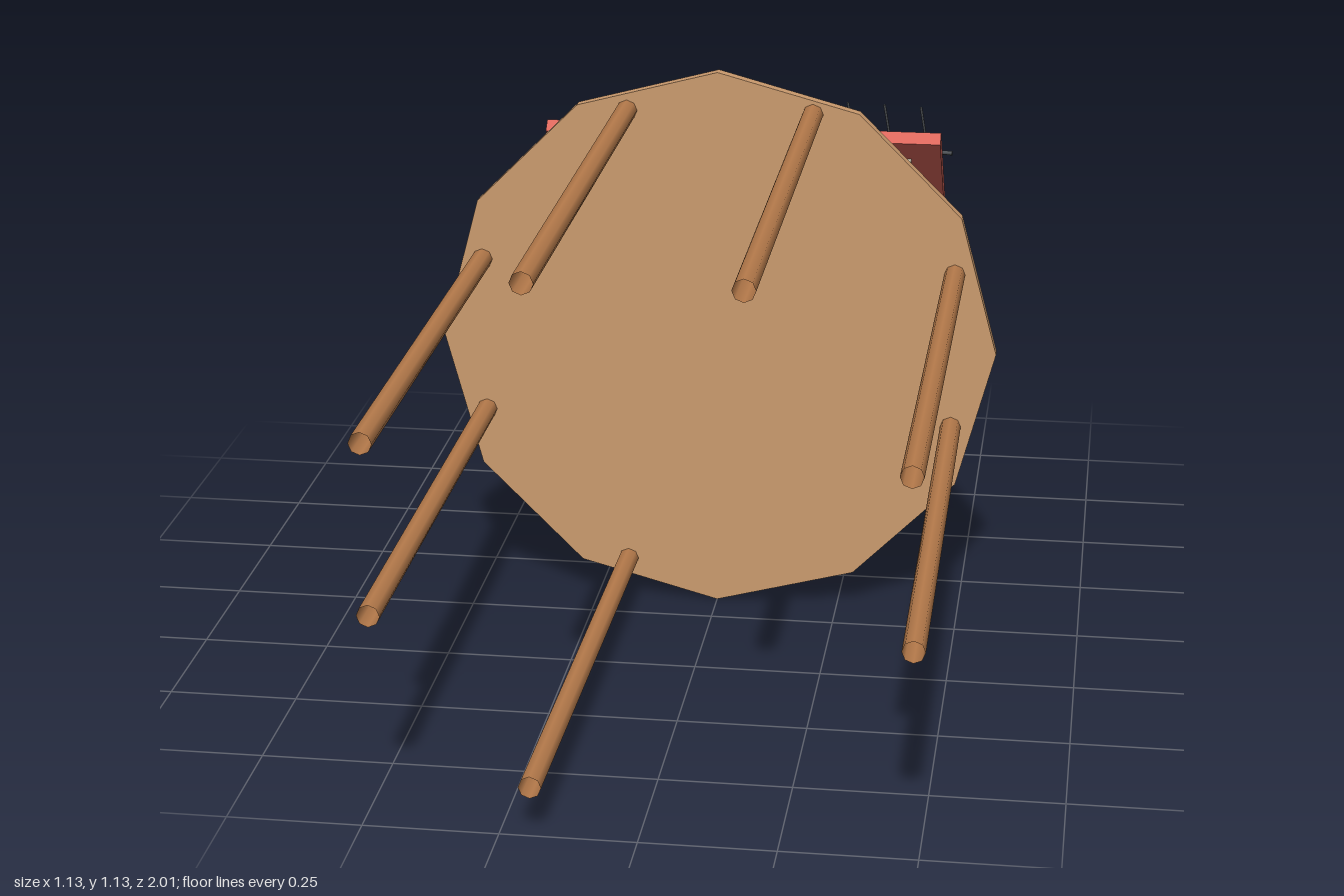
import * as THREE from 'three';

const mat = (name, color, extra = {}) => Object.assign(new THREE.MeshStandardMaterial({ color, ...extra }), { name });

export function createModel() {
  const deckWood = mat('light wood', 0xcb9b6e);
  const stiltWood = mat('stilt wood', 0xb87c4c, { side: THREE.DoubleSide });
  const plaster = mat('plaster', 0xcac5af);
  const roofRed = mat('roof red', 0xdb675c);
  const glass = mat('dark glass', 0x4d6570);
  const metal = mat('antenna metal', 0x505458);

  // The hut is modelled upright (y up), then laid on its back at the end.
  const hut = new THREE.Group();
  hut.name = 'stiltHut';
  const add = (name, geometry, material) => {
    const mesh = new THREE.Mesh(geometry, material);
    mesh.name = name;
    hut.add(mesh);
    return mesh;
  };
  const v = (x, y, z) => new THREE.Vector3(x, y, z);
  const shapeOf = pts => new THREE.Shape(pts.map(([x, y]) => new THREE.Vector2(x, y)));
  const rectPts = (x0, x1, y0, y1) => [[x0, y0], [x1, y0], [x1, y1], [x0, y1]];
  const extrude = (shape, depth) => new THREE.ExtrudeGeometry(shape, { depth, bevelEnabled: false });
  // Extrude a (z, y) outline along x, from x1 down to x0
  const alongX = (shape, x0, x1) => extrude(shape, x1 - x0).rotateY(-Math.PI / 2).translate(x1, 0, 0);
  // Straight round bar between two points
  const rod = (name, a, b, radius, sides, material, open = false) => {
    const dir = b.clone().sub(a);
    const mesh = add(name, new THREE.CylinderGeometry(radius, radius, dir.length(), sides, 1, open), material);
    mesh.position.copy(a).add(b).multiplyScalar(0.5);
    mesh.quaternion.setFromUnitVectors(v(0, 1, 0), dir.normalize());
  };

  // Twelve-sided deck
  const deck = new THREE.CylinderGeometry(0.565, 0.565, 0.025, 12).toNonIndexed();
  deck.computeVertexNormals();
  add('deck', deck.translate(0, 0.1025, 0), deckWood);

  // Seven hollow stilts, slightly splayed: foot x, z and top x, z
  [
    [-0.19, 0.47, -0.182, 0.482], [0.187, 0.473, 0.19, 0.486],
    [-0.478, 0.168, -0.482, 0.16], [0.474, 0.155, 0.478, 0.166],
    [-0.475, -0.155, -0.479, -0.164], [0.483, -0.167, 0.477, -0.158],
    [-0.193, -0.47, -0.186, -0.482],
  ].forEach(([fx, fz, tx, tz]) => rod('stilt', v(fx, -1, fz), v(tx, 0.09, tz), 0.021, 8, stiltWood, true));

  // House: solid core, with thicker outer walls where there are openings
  const X0 = -0.36, X1 = 0.355, Z0 = -0.255, Z1 = 0.27, BASE = 0.115, EAVE = 0.56, MID = 0.0075, PEAK = 0.822;
  const T = 0.04;
  add('houseCore', alongX(shapeOf([
    [Z0, BASE], [Z1 - T, BASE], [Z1 - T, EAVE + T], [MID, PEAK], [Z0, EAVE],
  ]), X0 + T, X1), plaster);

  const windows = [[-0.265, -0.1], [0.092, 0.26]];
  const W0 = 0.212, W1 = 0.465, F = 0.013;
  const windowWall = shapeOf(rectPts(X0 + T, X1, BASE, EAVE));
  windows.forEach(([a, b]) => windowWall.holes.push(shapeOf(rectPts(a, b, W0, W1))));
  add('windowWall', extrude(windowWall, T).translate(0, 0, Z1 - T), plaster);

  const D0 = -0.105, D1 = 0.105, DH = 0.415;
  add('doorWall', alongX(shapeOf([
    [Z0, BASE], [D0, BASE], [D0, DH], [D1, DH], [D1, BASE],
    [Z1, BASE], [Z1, EAVE], [MID, PEAK], [Z0, EAVE],
  ]), X0, X0 + T), plaster);

  // Window frames and panes
  windows.forEach(([a, b]) => {
    const frame = shapeOf(rectPts(a, b, W0, W1));
    frame.holes.push(shapeOf(rectPts(a + F, b - F, W0 + F, W1 - F)));
    add('windowFrame', extrude(frame, T + 0.003).translate(0, 0, Z1 - T), deckWood);
    const pane = extrude(shapeOf(rectPts(a + F, b - F, W0 + F, W1 - F)), 0.005);
    add('windowPane', pane.translate(0, 0, Z1 - T), glass);
  });

  // Door frame and leaf
  add('doorFrame', alongX(shapeOf([
    [D0, BASE], [D0 + F, BASE], [D0 + F, DH - F], [D1 - F, DH - F],
    [D1 - F, BASE], [D1, BASE], [D1, DH], [D0, DH],
  ]), X0 - 0.003, X0 + T), deckWood);
  add('door', alongX(shapeOf(rectPts(D0 + F, D1 - F, BASE, DH - F)), X0 + T - 0.005, X0 + T), glass);

  // Gabled roof
  add('roof', alongX(shapeOf([
    [MID, 0.862], [MID - 0.328, 0.534], [MID - 0.308, 0.512], [MID, 0.824],
    [MID + 0.308, 0.512], [MID + 0.328, 0.534],
  ]), -0.425, 0.418), roofRed);

  // Antenna: mast, tilted boom and four cross elements
  const AX = 0.24, AZ = 0.18;
  rod('antennaMast', v(AX, 0.68, AZ), v(AX, 0.958, AZ), 0.005, 6, metal);
  rod('antennaFoot', v(AX, 0.68, AZ), v(AX, 0.72, AZ), 0.008, 6, metal);
  const boomY = x => 0.957 - 0.125 * (x - AX);
  rod('antennaBoom', v(0.06, boomY(0.06), AZ), v(0.42, boomY(0.42), AZ), 0.005, 6, metal);
  [0.114, 0.2, 0.283, 0.365].forEach(x => {
    const y = boomY(x);
    rod('antennaElement', v(x - 0.016, y - 0.031, AZ + 0.11), v(x + 0.016, y + 0.031, AZ - 0.11), 0.003, 5, metal);
  });

  // Lay the hut down so the stilts point forward
  hut.rotation.x = -Math.PI / 2;
  hut.position.y = 0.565;
  const model = new THREE.Group();
  model.name = 'model';
  model.add(hut);
  return model;
}
